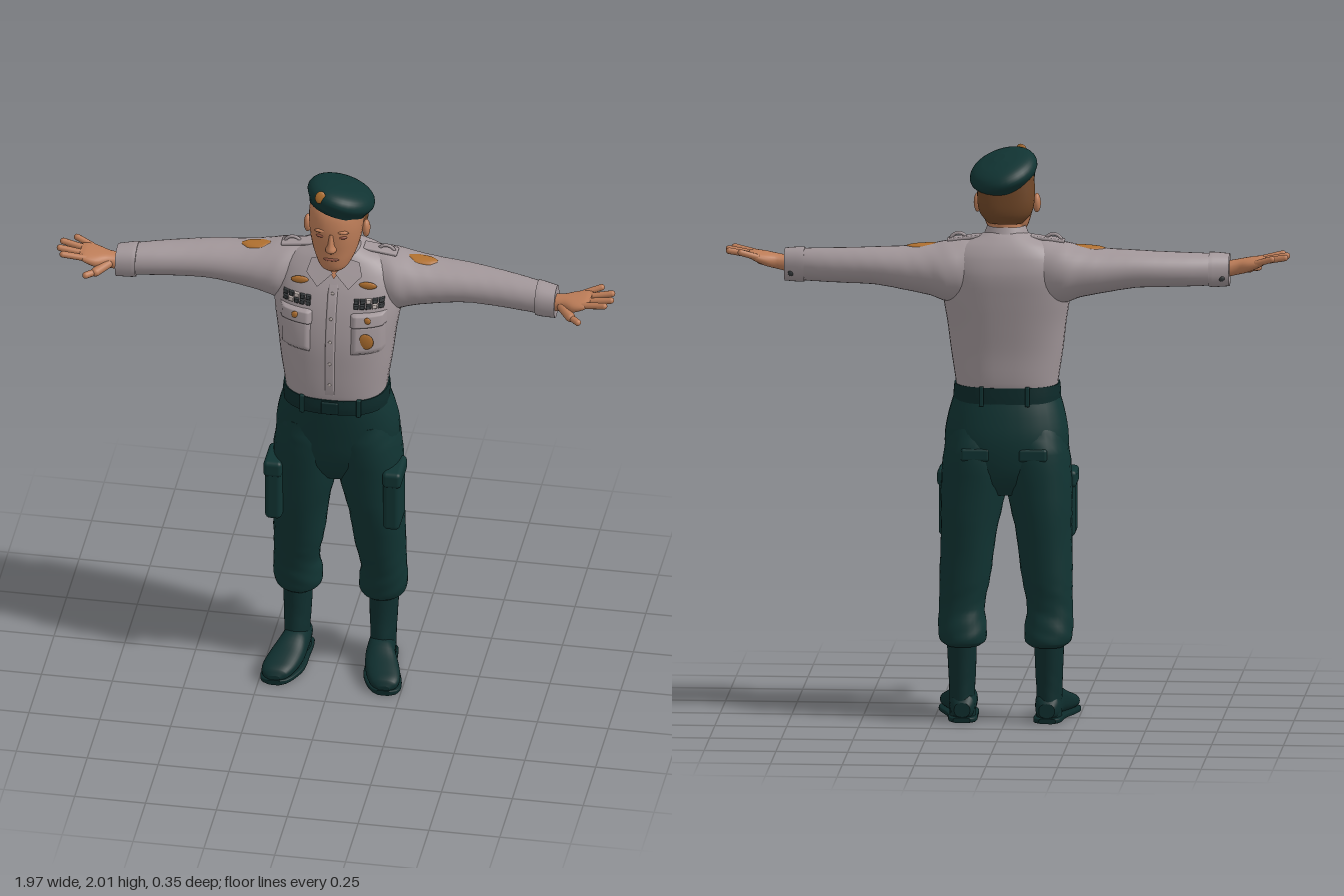
import * as THREE from 'three';
import { mergeVertices } from 'three/addons/utils/BufferGeometryUtils.js';
import { RoundedBoxGeometry } from 'three/addons/geometries/RoundedBoxGeometry.js';

const mat = (name, color, side = THREE.FrontSide) => {
  const m = new THREE.MeshStandardMaterial({ color, side });
  m.name = name;
  return m;
};
const shirt = mat('shirt grey', 0xa2979a, THREE.DoubleSide);
const cloth = mat('dark green cloth', 0x113433);
const beltMat = mat('belt green', 0x0d2a2a);
const boot = mat('boot green', 0x0f2e2e);
const skin = mat('skin', 0xbd7d58);
const shade = mat('lip and lid brown', 0x935543);
const hairMat = mat('hair brown', 0x6f4627);
const gold = mat('badge gold', 0xb0702f);
const dark = mat('ribbon dark', 0x34383a);
const pale = mat('button pale', 0xb5aaa6);

// Smooth interpolation of rows [t, a0, a1, b0, b1]
function sample(rows, t) {
  let i = 0;
  while (i < rows.length - 2 && t > rows[i + 1][0]) i++;
  const p = rows[i], q = rows[i + 1], o = rows[i - 1] || p, r = rows[i + 2] || q;
  const h = q[0] - p[0], u = THREE.MathUtils.clamp((t - p[0]) / h, 0, 1);
  return p.map((v, k) => {
    const m0 = (q[k] - o[k]) / (q[0] - o[0]) * h, m1 = (r[k] - v) / (r[0] - p[0]) * h;
    return (2 * u ** 3 - 3 * u * u + 1) * v + (u ** 3 - 2 * u * u + u) * m0 +
      (3 * u * u - 2 * u ** 3) * q[k] + (u ** 3 - u * u) * m1;
  });
}

// Closed skin over superellipse sections along an axis; t must rise
const place = {
  y: (t, a, b) => [a, t, b],
  x: (t, a, b) => [t, b, a],
  z: (t, a, b) => [b, a, t],
};
function loft(rows, axis = 'y', p = 2, fold = 0, seg = 32, sub = 4) {
  const pos = [], idx = [], ts = [];
  for (let i = 0; i < rows.length - 1; i++)
    for (let s = 0; s < sub; s++) ts.push(rows[i][0] + (rows[i + 1][0] - rows[i][0]) * s / sub);
  ts.push(rows[rows.length - 1][0]);
  const ring = (t) => {
    const [, a0, a1, b0, b1] = sample(rows, t);
    for (let j = 0; j < seg; j++) {
      const w = j / seg * Math.PI * 2, c = Math.cos(w), s = Math.sin(w);
      const f = 1 + fold * Math.sin(3 * w + 38 * t) * Math.sin(61 * t + w);
      pos.push(...place[axis](t,
        (a0 + a1) / 2 + (a1 - a0) / 2 * f * Math.sign(c) * Math.abs(c) ** (2 / p),
        (b0 + b1) / 2 + (b1 - b0) / 2 * f * Math.sign(s) * Math.abs(s) ** (2 / p)));
    }
  };
  ts.forEach(ring);
  for (let i = 0; i < ts.length - 1; i++)
    for (let j = 0; j < seg; j++) {
      const a = i * seg + j, b = i * seg + (j + 1) % seg;
      idx.push(a, a + seg, b, b, a + seg, b + seg);
    }
  [ts[0], ts[ts.length - 1]].forEach((t, end) => {
    const base = pos.length / 3, [, a0, a1, b0, b1] = sample(rows, t);
    ring(t);
    pos.push(...place[axis](t, (a0 + a1) / 2, (b0 + b1) / 2));
    for (let j = 0; j < seg; j++) {
      const a = base + j, b = base + (j + 1) % seg;
      idx.push(base + seg, ...(end ? [b, a] : [a, b]));
    }
  });
  const g = new THREE.BufferGeometry();
  g.setAttribute('position', new THREE.Float32BufferAttribute(pos, 3));
  g.setIndex(idx);
  g.computeVertexNormals();
  return g;
}

// Shirt body sections, also used to lay details on the chest
const TP = 2.5;
const torsoRows = [
  [1.15, -.175, .175, -.13, .145], [1.2, -.18, .18, -.14, .152], [1.3, -.195, .195, -.145, .152],
  [1.4, -.207, .207, -.157, .147], [1.5, -.222, .222, -.17, .127], [1.58, -.222, .222, -.177, .098],
  [1.64, -.205, .205, -.165, .065], [1.68, -.16, .16, -.145, .04], [1.71, -.09, .09, -.12, .02],
  [1.725, -.06, .06, -.1, .005]];
function chestZ(x, y) {
  const [, , rx, z0, z1] = sample(torsoRows, y);
  return (z0 + z1) / 2 + (z1 - z0) / 2 * Math.max(0, 1 - Math.abs(x / rx) ** TP) ** (1 / TP);
}
function drape(g, lift) {
  const p = g.attributes.position;
  for (let i = 0; i < p.count; i++) p.setZ(i, chestZ(p.getX(i), p.getY(i)) + lift(i));
  g.computeVertexNormals();
  return g;
}
function patch(x, y, w, h, lift) {
  const g = new THREE.PlaneGeometry(w, h, 10, 10).translate(x, y, 0);
  return drape(g, (i) => (i % 11 % 10 && i > 10 && i < 110 ? lift : -.002));
}
function ball(x, y, z, rx, ry, rz) {
  return new THREE.SphereGeometry(1, 16, 12).scale(rx, ry, rz).translate(x, y, z);
}
const box = (x, y, z, w, h, d, r = .01) => new RoundedBoxGeometry(w, h, d, 3, r).translate(x, y, z);
function finger(a, b, r) {
  const A = new THREE.Vector3(...a), B = new THREE.Vector3(...b), d = B.clone().sub(A);
  const q = new THREE.Quaternion().setFromUnitVectors(new THREE.Vector3(0, 1, 0), d.clone().normalize());
  const mid = A.add(B).multiplyScalar(.5);
  return new THREE.CapsuleGeometry(r, d.length(), 5, 10).applyQuaternion(q).translate(mid.x, mid.y, mid.z);
}
function mirrored(geo) {
  const g = geo.index ? geo.clone() : mergeVertices(geo);
  g.scale(-1, 1, 1);
  const ix = g.index;
  for (let i = 0; i < ix.count; i += 3) {
    const t = ix.getX(i);
    ix.setX(i, ix.getX(i + 2));
    ix.setX(i + 2, t);
  }
  return g;
}

export function createModel() {
  const root = new THREE.Group();
  root.name = 'uniformedMan';
  const add = (name, geo, m, parent = root) => {
    const mesh = new THREE.Mesh(geo, m);
    mesh.name = name;
    parent.add(mesh);
    return mesh;
  };
  const pair = (name, geo, m) => {
    add('left ' + name, geo, m);
    add('right ' + name, mirrored(geo), m);
  };

  // Head and face
  add('neck', loft([[1.64, -.075, .075, -.1, .045], [1.7, -.062, .062, -.095, .05], [1.78, -.062, .062, -.09, .05]]), skin);
  add('head', loft([[1.683, -.025, .025, .05, .1], [1.7, -.05, .05, -.01, .12], [1.73, -.069, .069, -.07, .127],
    [1.77, -.083, .083, -.092, .127], [1.82, -.092, .092, -.102, .128], [1.87, -.095, .095, -.105, .124],
    [1.92, -.09, .09, -.1, .105], [1.95, -.06, .06, -.06, .07]], 'y', 2.2), skin);
  add('nose', loft([[1.778, -.012, .012, .11, .138], [1.79, -.02, .02, .1, .152], [1.81, -.012, .012, .1, .146],
    [1.85, -.009, .009, .1, .129]], 'y', 2, 0, 14), skin);
  add('mouth', ball(0, 1.748, .124, .028, .006, .007), shade);
  add('hair', loft([[1.755, -.06, .06, -.1, -.03], [1.79, -.09, .09, -.113, -.015], [1.84, -.1, .1, -.115, 0],
    [1.92, -.098, .098, -.112, .04]], 'y', 2.3), hairMat);
  pair('ear', ball(.103, 1.815, .005, .014, .034, .022), skin);
  pair('eyelid', ball(.037, 1.838, .116, .018, .006, .008), shade);
  pair('brow', ball(.037, 1.858, .116, .024, .006, .009), skin);

  // Tilted beret
  const beret = new THREE.Group();
  beret.name = 'beret';
  beret.position.set(.01, 1.925, -.012);
  beret.rotation.set(-.27, 0, -.27);
  root.add(beret);
  add('beret crown', loft([[-.036, -.1, .1, -.115, .12], [-.024, -.108, .108, -.125, .128], [.002, -.121, .121, -.146, .143],
    [.03, -.11, .11, -.132, .13], [.048, -.075, .075, -.092, .09], [.056, -.02, .02, -.03, .03]]), cloth, beret);
  add('beret band', loft([[-.042, -.1, .1, -.114, .12], [-.028, -.104, .104, -.118, .124]]), beltMat, beret);
  add('beret badge', ball(-.058, .012, .124, .018, .023, .008), gold, beret);

  // Shirt
  add('shirt body', loft(torsoRows, 'y', TP, 0, 48), shirt);
  pair('sleeve', loft([[.06, -.13, .0, 1.52, 1.695], [.13, -.155, .03, 1.48, 1.697], [.2, -.168, .055, 1.475, 1.69],
    [.26, -.16, .05, 1.495, 1.678], [.34, -.148, .04, 1.512, 1.668], [.45, -.13, .033, 1.53, 1.662],
    [.55, -.11, .035, 1.532, 1.656], [.65, -.085, .045, 1.533, 1.65], [.76, -.048, .056, 1.535, 1.642]], 'x', 2, .008), shirt);
  pair('cuff', loft([[.705, -.067, .056, 1.53, 1.65], [.72, -.063, .058, 1.528, 1.65], [.775, -.046, .06, 1.53, 1.644]], 'x', 2.2), shirt);
  pair('cuff button', ball(.75, 1.565, -.047, .011, .011, .007), dark);
  pair('shoulder emblem', loft([[.245, -.065, -.045, 1.66, 1.682], [.27, -.08, -.025, 1.655, 1.68],
    [.32, -.078, -.025, 1.65, 1.676], [.345, -.062, -.042, 1.65, 1.671]], 'x'), gold);
  pair('shoulder strap', box(0, 0, 0, .12, .012, .05, .005).rotateZ(-.13).translate(.145, 1.699, -.05), shirt);
  pair('strap loop', new THREE.TorusGeometry(.03, .006, 8, 16, Math.PI).translate(.165, 1.685, -.05), shirt);
  add('collar band', new THREE.CylinderGeometry(.066, .094, .07, 28, 1, true, .6, Math.PI * 2 - 1.2)
    .scale(1, 1, .95).translate(0, 1.708, -.035), shirt);
  const wing = new THREE.Shape([[.004, 1.655], [.055, 1.61], [.098, 1.65], [.085, 1.69], [.05, 1.7]].map((p) => new THREE.Vector2(...p)));
  pair('collar wing', drape(new THREE.ShapeGeometry(wing), () => .014), shirt);
  const vee = new THREE.Shape([[-.04, 1.69], [0, 1.635], [.04, 1.69]].map((p) => new THREE.Vector2(...p)));
  add('open neck', drape(new THREE.ShapeGeometry(vee), () => .008), skin);
  add('button placket', patch(0, 1.41, .036, .44, .005), shirt);
  for (let i = 0; i < 5; i++) {
    const y = 1.25 + i * .085;
    add('shirt button', ball(0, y, chestZ(0, y) + .005, .006, .006, .004), pale);
  }
  pair('chest pocket', patch(.128, 1.435, .115, .125, .012), shirt);
  pair('pocket flap', patch(.128, 1.503, .122, .05, .018), shirt);
  pair('pocket button', ball(.128, 1.508, chestZ(.128, 1.508) + .018, .012, .013, .006), gold);
  for (let i = 0; i < 5; i++)
    for (const y of [1.55, 1.568])
      pair('ribbon bar', patch(.085 + i * .021, y, .019, .016, .009), (i + (y > 1.56)) % 4 === 3 ? pale : dark);
  pair('chest emblem', ball(.12, 1.618, chestZ(.12, 1.618) + .004, .032, .014, .008), gold);
  add('medal', ball(.125, 1.43, chestZ(.125, 1.43) + .014, .027, .031, .007), gold);

  // Hands
  pair('palm', loft([[.74, -.02, .045, 1.555, 1.612], [.8, -.014, .055, 1.568, 1.622], [.84, -.03, .078, 1.578, 1.628],
    [.88, -.036, .08, 1.597, 1.632], [.9, -.025, .068, 1.608, 1.63]], 'x', 2.3, 0, 24), skin);
  for (const [z0, x1, z1] of [[-.024, .925, -.04], [.004, .968, -.006], [.034, .972, .038], [.062, .955, .078]])
    pair('finger', finger([.87, 1.615, z0], [x1, 1.633, z1], .0115), skin);
  pair('thumb base', finger([.8, 1.592, .045], [.838, 1.58, .088], .017), skin);
  pair('thumb tip', finger([.838, 1.58, .088], [.868, 1.578, .113], .012), skin);

  // Trousers and belt
  add('trouser seat', loft([[.8, -.1, .1, -.11, .06], [.85, -.17, .17, -.145, .095], [.92, -.208, .208, -.162, .118],
    [1.0, -.216, .216, -.165, .13], [1.08, -.203, .203, -.152, .14], [1.15, -.182, .182, -.135, .147]], 'y', 2.3), cloth);
  pair('trouser leg', loft([[.268, .09, .205, -.145, -.01], [.285, .07, .226, -.165, .008], [.33, .066, .235, -.16, .018],
    [.4, .073, .234, -.144, .026], [.5, .056, .231, -.15, .05], [.65, .035, .229, -.156, .085],
    [.8, .004, .228, -.165, .11], [.95, -.01, .22, -.163, .123], [1.05, 0, .195, -.135, .12]], 'y', 2.2, .022), cloth);
  pair('cargo pocket', box(.208, .75, .045, .06, .22, .135, .018), cloth);
  pair('cargo flap', box(.21, .845, .045, .066, .06, .142, .015), cloth);
  pair('back pocket flap', box(.1, .95, -.15, .1, .045, .03), cloth);
  add('belt', loft([[1.125, -.187, .187, -.141, .154], [1.15, -.187, .187, -.141, .157], [1.183, -.184, .184, -.14, .155]], 'y', 2.4), beltMat);
  add('buckle', box(0, 1.153, .157, .06, .048, .012, .005), beltMat);
  pair('belt loop', box(.1, 1.153, .138, .016, .07, .02, .004), cloth);
  pair('back belt loop', box(.08, 1.153, -.133, .016, .07, .02, .004), cloth);

  // Boots
  pair('boot shaft', loft([[.02, .105, .195, -.132, 0], [.1, .107, .197, -.128, .003], [.18, .103, .2, -.13, -.01],
    [.3, .1, .205, -.14, -.014]], 'y', 2, .012), boot);
  pair('boot foot', loft([[-.133, .02, .07, .12, .175], [-.11, .01, .1, .106, .19], [0, .01, .115, .103, .205],
    [.06, .01, .09, .108, .228], [.12, .01, .07, .125, .243], [.16, .012, .055, .148, .236], [.174, .018, .036, .172, .214]], 'z', 2.4), boot);
  pair('boot sole', loft([[-.136, 0, .018, .12, .178], [-.115, 0, .02, .1, .195], [-.02, 0, .02, .1, .208],
    [.07, 0, .02, .104, .238], [.13, 0, .02, .126, .248], [.165, 0, .02, .15, .238], [.177, 0, .02, .17, .216]], 'z', 5), beltMat);
  return root;
}
